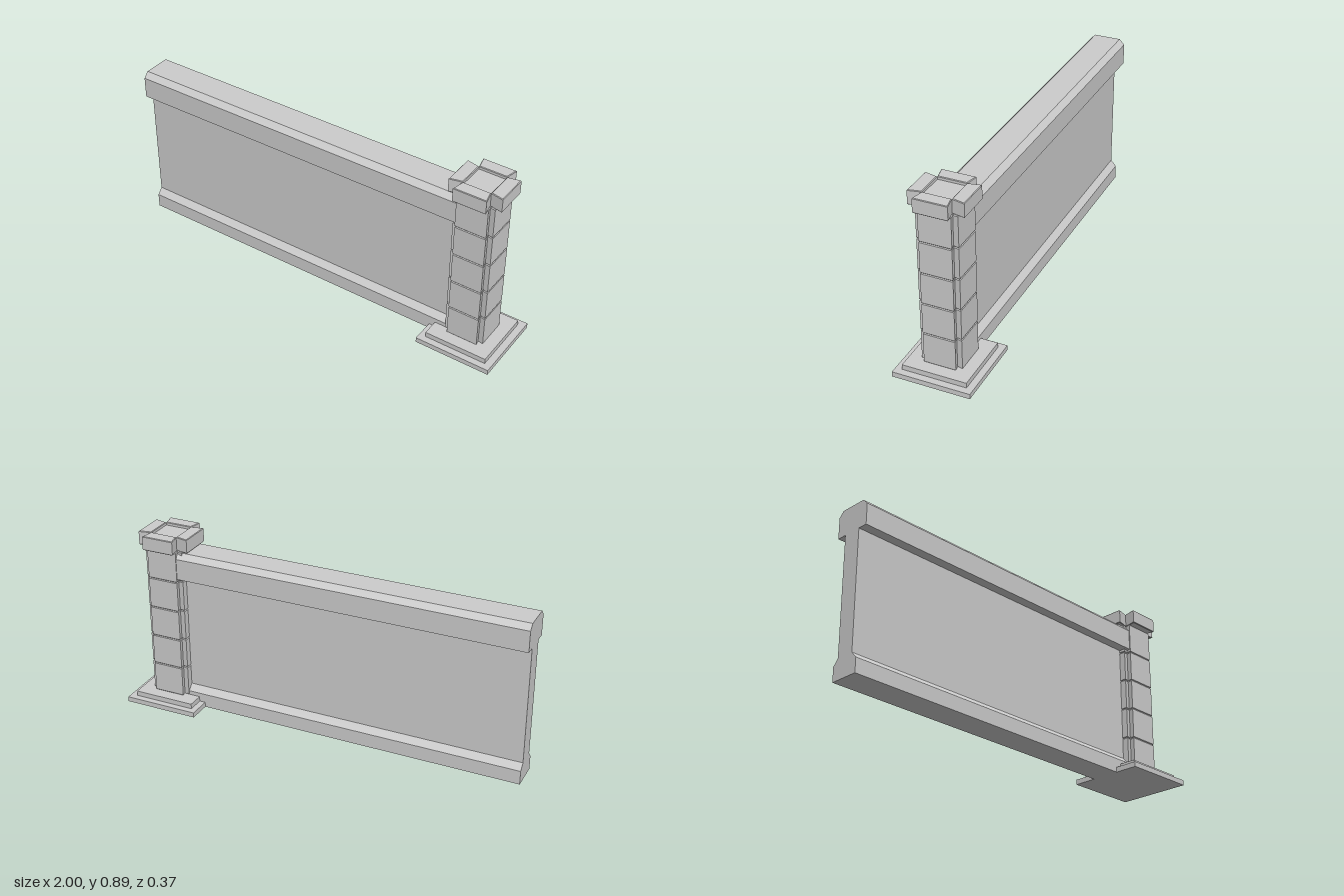
import * as THREE from 'three';

const material = new THREE.MeshStandardMaterial({ color: 0xcccccc, flatShading: true });
const PILLAR_X = 0.811;

function add(parent, name, geometry, x = 0, y = 0, z = 0) {
  const mesh = new THREE.Mesh(geometry, material);
  mesh.name = name;
  mesh.position.set(x, y, z);
  parent.add(mesh);
  return mesh;
}

// Box standing on y0, square in plan
function slab(parent, name, half, y0, y1) {
  return add(parent, name, new THREE.BoxGeometry(half * 2, y1 - y0, half * 2), 0, (y0 + y1) / 2, 0);
}

// Chamfered stone, trapezoid in plan, widening from the core to the outer face
function stoneGeometry(inner, outer, outerHalf, height, bevel) {
  const shape = new THREE.Shape([
    new THREE.Vector2(-inner, -inner),
    new THREE.Vector2(-outerHalf, -outer),
    new THREE.Vector2(outerHalf, -outer),
    new THREE.Vector2(inner, -inner),
  ]);
  const geometry = new THREE.ExtrudeGeometry(shape, {
    depth: height - bevel * 2,
    bevelEnabled: true,
    bevelSegments: 1,
    bevelSize: bevel,
    bevelThickness: bevel,
    bevelOffset: -bevel,
  });
  geometry.translate(0, 0, bevel);
  geometry.rotateX(-Math.PI / 2);
  return geometry;
}

// Four stones around the pillar axis
function ring(parent, name, geometry, y) {
  const group = new THREE.Group();
  group.name = name;
  group.position.y = y;
  for (let i = 0; i < 4; i++) add(group, 'stone', geometry).rotation.y = (i * Math.PI) / 2;
  parent.add(group);
}

export function createModel() {
  const model = new THREE.Group();
  model.name = 'wallWithPillar';

  // Wall: one mirrored profile with foot, panel and coping, run along x
  const half = [[0.072, 0], [0.072, 0.07], [0.045, 0.1], [0.045, 0.682], [0.0925, 0.682], [0.0925, 0.786], [0.067, 0.812]];
  const profile = [...half, ...half.map(([z, y]) => [-z, y]).reverse()];
  const wallShape = new THREE.Shape(profile.map(([z, y]) => new THREE.Vector2(z, y)));
  const wallGeometry = new THREE.ExtrudeGeometry(wallShape, { depth: 1 + PILLAR_X, bevelEnabled: false });
  wallGeometry.rotateY(Math.PI / 2);
  add(model, 'wall', wallGeometry, -1, 0, 0);

  const pillar = new THREE.Group();
  pillar.name = 'pillar';
  pillar.position.x = PILLAR_X;
  model.add(pillar);

  // Stepped plinth
  slab(pillar, 'lowerPlinth', 0.187, 0, 0.025).position.x = 0.0015;
  slab(pillar, 'upperPlinth', 0.155, 0.025, 0.05);

  // Shaft of five courses around a core
  slab(pillar, 'shaftCore', 0.072, 0.05, 0.82);
  const courses = 5;
  const courseHeight = 0.77 / courses;
  const shaftStone = stoneGeometry(0.072, 0.098, 0.077, courseHeight, 0.004);
  for (let i = 0; i < courses; i++) ring(pillar, 'shaftCourse', shaftStone, 0.05 + i * courseHeight);

  // Capital with a sunken centre
  slab(pillar, 'capitalCore', 0.068, 0.82, 0.875);
  ring(pillar, 'capital', stoneGeometry(0.068, 0.13, 0.081, 0.07, 0.003), 0.82);

  return model;
}
